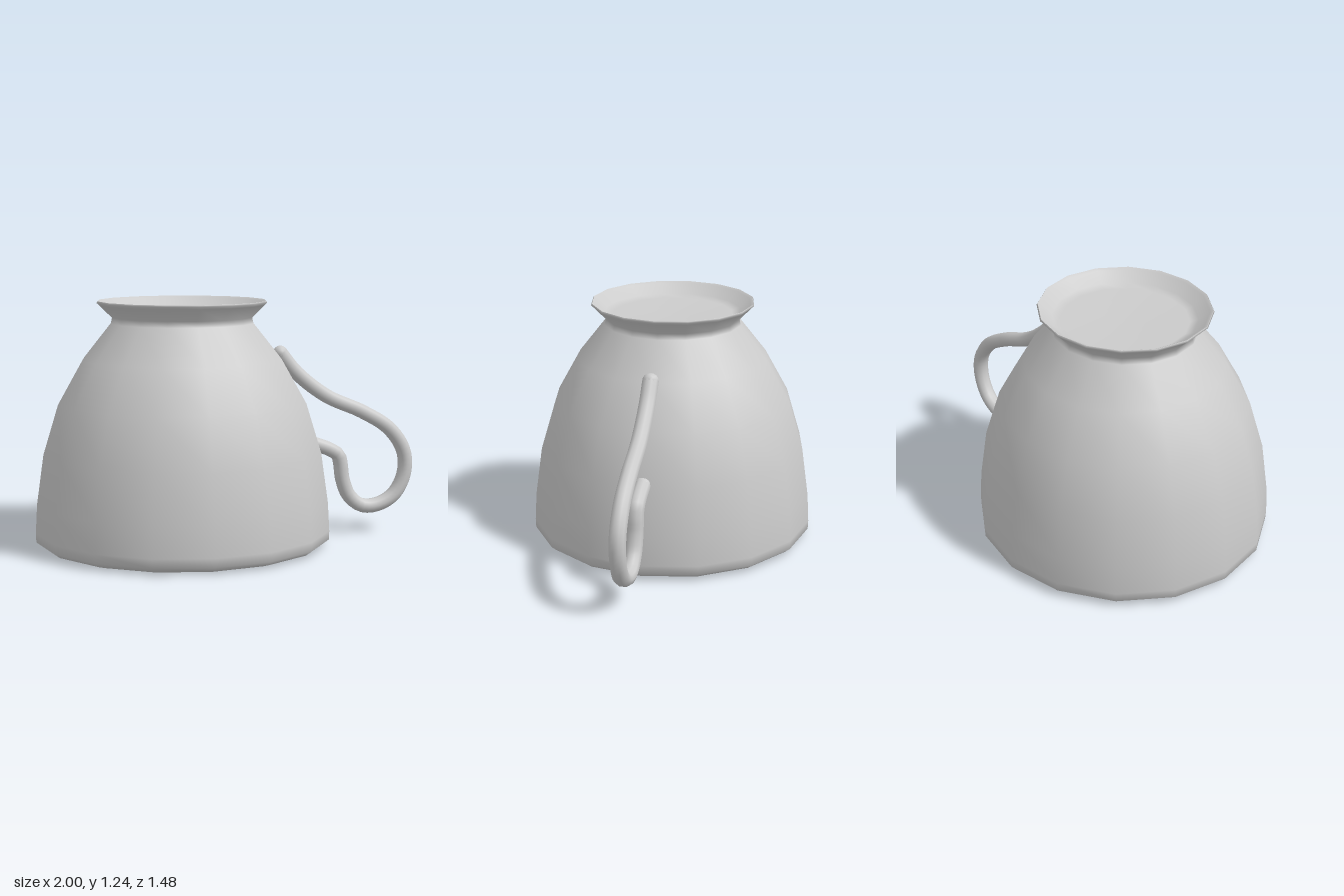
import * as THREE from 'three';

const material = new THREE.MeshStandardMaterial({ color: 0xcccccc });
const SIDES = 16;
const CENTRE_X = -0.245;

// Turned part from [radius, height] pairs, slightly narrower in depth than width
function turned(name, profile) {
  const points = profile.map(([r, y]) => new THREE.Vector2(r, y));
  const mesh = new THREE.Mesh(new THREE.LatheGeometry(points, SIDES), material);
  mesh.name = name;
  mesh.position.x = CENTRE_X;
  mesh.scale.z = 0.975;
  return mesh;
}

export function createModel() {
  const group = new THREE.Group();
  group.name = 'upturnedCup';

  // Bowl: inner wall, rounded rim, then the outer wall up to the neck and flared foot
  group.add(turned('bowl', [
    [0.67, 0.17], [0.695, 0.1], [0.69, 0.04], [0.67, 0.005], [0.685, 0],
    [0.725, 0.012], [0.755, 0.035], [0.757, 0.08], [0.748, 0.23], [0.712, 0.48],
    [0.635, 0.73], [0.51, 0.95], [0.365, 1.13], [0.358, 1.16], [0.42, 1.222],
    [0.435, 1.235], [0.43, 1.243],
  ]));

  // Shallow dish under the foot
  group.add(turned('footDish', [
    [0.43, 1.243], [0.415, 1.235], [0.36, 1.19], [0.32, 1.175], [0.001, 1.17],
  ]));

  // Flat floor inside the bowl
  group.add(turned('innerFloor', [[0.001, 0.17], [0.67, 0.17]]));

  // Looping handle with a small kink at its lower end
  const path = new THREE.CatmullRomCurve3([
    [0.27, 0.965], [0.355, 0.862], [0.52, 0.735], [0.72, 0.645], [0.87, 0.55],
    [0.95, 0.43], [0.955, 0.31], [0.9, 0.2], [0.81, 0.148], [0.72, 0.146],
    [0.65, 0.2], [0.613, 0.29], [0.6, 0.38], [0.588, 0.42], [0.545, 0.45], [0.45, 0.487],
  ].map(([x, y]) => new THREE.Vector3(x, y, 0)), false, 'centripetal');
  const handle = new THREE.Group();
  handle.name = 'handle';
  handle.scale.z = 1.1;
  const tube = new THREE.Mesh(new THREE.TubeGeometry(path, 64, 0.038, 10), material);
  tube.name = 'handleLoop';
  handle.add(tube);

  // Rounded handle ends
  for (const [name, t] of [['upperEnd', 0], ['lowerEnd', 1]]) {
    const end = new THREE.Mesh(new THREE.SphereGeometry(0.038, 12, 8), material);
    end.name = name;
    end.position.copy(path.getPoint(t));
    handle.add(end);
  }
  group.add(handle);
  return group;
}
